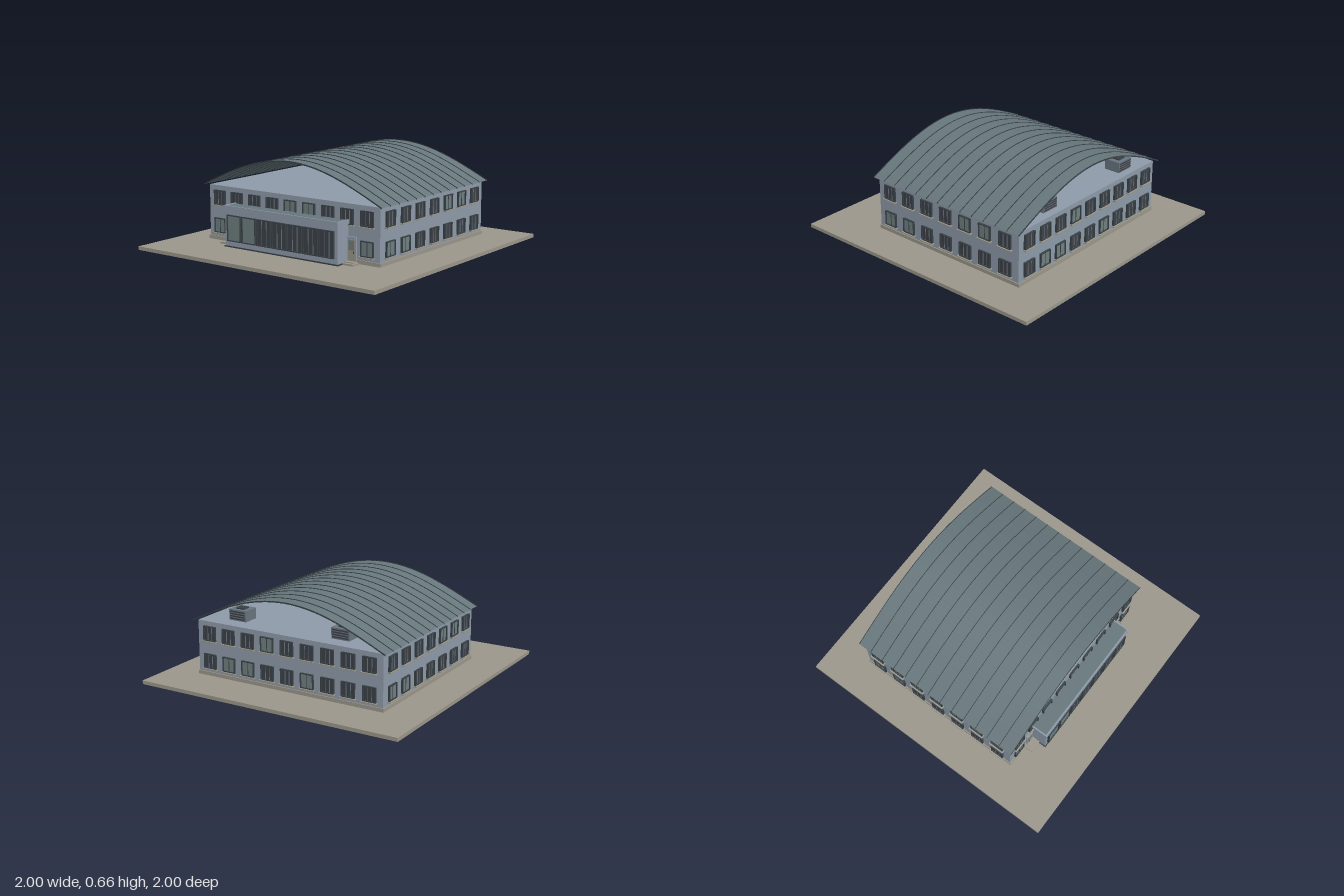
import * as THREE from 'three';

const mat = (name, color, side = THREE.FrontSide) => {
  const m = new THREE.MeshStandardMaterial({ color, side });
  m.name = name;
  return m;
};

export function createModel() {
  const wall = mat('blue grey wall', 0x8d9aa9);
  const roofing = mat('slate roofing', 0x66767b, THREE.DoubleSide);
  const stone = mat('tan stone', 0x9a968a);
  const darkPane = mat('dark pane', 0x3c4046);
  const glass = mat('pale glass', 0x6f7f80);
  const frame = mat('dark frame', 0x384146);
  const mullion = mat('mullion grey', 0x68747f);

  const model = new THREE.Group();
  model.name = 'archRoofHall';

  // Box given by its minimum and maximum corners
  const box = (parent, name, material, x0, x1, y0, y1, z0, z1) => {
    const mesh = new THREE.Mesh(new THREE.BoxGeometry(x1 - x0, y1 - y0, z1 - z0), material);
    mesh.position.set((x0 + x1) / 2, (y0 + y1) / 2, (z0 + z1) / 2);
    mesh.name = name;
    parent.add(mesh);
    return mesh;
  };

  // Framed pane standing on the z = 0 plane of its parent
  const glazing = (parent, name, x, y0, w, h, lit, bars, depth) => {
    const g = new THREE.Group();
    g.name = name;
    g.position.set(x, y0, 0);
    const a = w / 2, t = 0.006;
    box(g, 'pane', lit ? glass : darkPane, -a + t, a - t, t, h - t, 0, 0.006);
    for (const s of [-1, 1]) box(g, 'jamb', frame, s * (a - t / 2) - t / 2, s * (a - t / 2) + t / 2, 0, h, 0, depth);
    box(g, 'head', frame, -a, a, h - t, h, 0, depth);
    box(g, 'bottomRail', frame, -a, a, 0, t, 0, depth);
    for (const f of bars) {
      const b = (f - 0.5) * w;
      box(g, 'mullion', lit ? frame : mullion, b - 0.002, b + 0.002, t, h - t, 0, 0.009);
    }
    parent.add(g);
    return g;
  };

  // Ground and main block
  const Z0 = -0.706, Z1 = 0.556, X = 0.73;
  box(model, 'ground', stone, -1, 1, 0, 0.026, -1, 1);
  box(model, 'plinth', stone, -X - 0.007, X + 0.007, 0.042, 0.068, Z0 - 0.007, Z1 + 0.007);
  box(model, 'mainBlock', wall, -X, X, 0.045, 0.43, Z0, Z1);

  // Two rows of windows on each face
  const windowRows = (name, count, pitch, px, pz, turn, litTop, litBottom, skip = []) => {
    const face = new THREE.Group();
    face.name = name;
    face.position.set(px, 0, pz);
    face.rotation.y = turn;
    for (let row = 0; row < 2; row++) {
      for (let i = 0; i < count; i++) {
        if (row === 0 && skip.includes(i)) continue;
        const lit = (row ? litTop : litBottom).includes(i);
        const x = (i - (count - 1) / 2) * pitch;
        const g = glazing(face, 'window', x, row ? 0.293 : 0.095, 0.1, 0.104, lit, lit ? [0.5] : [0.36, 0.68], 0.015);
        box(g, 'sill', stone, -0.058, 0.058, -0.008, 0, 0, 0.025);
      }
    }
    model.add(face);
  };
  const zc = -0.073;
  windowRows('frontWindows', 9, 0.158, 0, Z1, 0, [4, 5], [0, 8], [1, 2, 3, 4, 5, 6, 7]);
  windowRows('backWindows', 9, 0.158, 0, Z0, Math.PI, [3], [1, 2, 5]);
  windowRows('leftWindows', 7, 0.174, X, zc, Math.PI / 2, [4, 5], [0, 1]);
  windowRows('rightWindows', 7, 0.174, -X, zc, -Math.PI / 2, [4, 5], [0, 1]);

  // Arched open-ended roof with standing seams
  const span = 1.515, rise = 0.228;
  const arch = (geometry) => {
    const p = geometry.attributes.position;
    for (let i = 0; i < p.count; i++) {
      p.setY(i, p.getY(i) + 0.432 + rise * Math.cos((p.getX(i) / span) * Math.PI));
    }
    geometry.computeVertexNormals();
    return geometry;
  };
  const sheet = new THREE.Mesh(arch(new THREE.PlaneGeometry(span, 1.316, 48, 1).rotateX(-Math.PI / 2)), roofing);
  sheet.name = 'roofSheet';
  sheet.position.z = -0.075;
  model.add(sheet);
  const seamGeometry = arch(new THREE.BoxGeometry(span, 0.009, 0.004, 48, 1, 1));
  for (let i = 0; i < 14; i++) {
    const seam = new THREE.Mesh(seamGeometry, frame);
    seam.name = 'roofSeam';
    seam.position.z = 0.581 - i * 0.1009;
    model.add(seam);
  }

  // Ventilation units under the back of the roof
  for (const s of [-1, 1]) {
    const unit = new THREE.Group();
    unit.name = 'ventUnit';
    unit.position.set(s * 0.405, 0.467, -0.635);
    box(unit, 'casing', mullion, -0.068, 0.068, 0, 0.075, -0.06, 0.06);
    box(unit, 'fanCap', frame, -0.032, 0.032, 0.075, 0.083, -0.032, 0.032);
    for (let i = 0; i < 4; i++) {
      const y = 0.009 + i * 0.016;
      box(unit, 'louvre', darkPane, -0.06, 0.06, y, y + 0.009, -0.063, 0.063);
    }
    model.add(unit);
  }

  // Glazed porch with a rimmed flat roof
  const porch = new THREE.Group();
  porch.name = 'porch';
  box(porch, 'porchBase', frame, -0.487, 0.487, 0.038, 0.046, Z1, 0.683);
  box(porch, 'porchWall', wall, -0.48, 0.48, 0.045, 0.285, Z1, 0.676);
  box(porch, 'porchFascia', wall, -0.488, 0.488, 0.28, 0.318, Z1, 0.684);
  box(porch, 'porchRoof', roofing, -0.478, 0.478, 0.318, 0.321, Z1, 0.674);
  box(porch, 'porchRimFront', wall, -0.488, 0.488, 0.318, 0.327, 0.674, 0.684);
  for (const s of [-1, 1]) {
    box(porch, 'porchRimSide', wall, s * 0.483 - 0.005, s * 0.483 + 0.005, 0.318, 0.327, Z1, 0.674);
  }
  const glazedFront = new THREE.Group();
  glazedFront.name = 'glazedFront';
  glazedFront.position.z = 0.676;
  for (let i = 0; i < 7; i++) {
    glazing(glazedFront, 'porchPanel', (i - 3) * 0.132, 0.082, 0.122, 0.182, i < 2, i < 2 ? [] : [0.36, 0.68], 0.015);
  }
  porch.add(glazedFront);
  model.add(porch);

  // Side doors and steps beside the porch
  for (const s of [-1, 1]) {
    const entry = new THREE.Group();
    entry.name = 'sideEntrance';
    entry.position.set(s * 0.515, 0, Z1);
    box(entry, 'doorSurround', wall, -0.034, 0.034, 0.045, 0.216, 0, 0.012);
    box(entry, 'door', stone, -0.027, 0.027, 0.05, 0.2, 0, 0.016);
    box(entry, 'doorGlass', glass, -0.022, 0.022, 0.128, 0.194, 0.016, 0.019);
    box(entry, 'doorHandle', frame, s * 0.018 - 0.003, s * 0.018 + 0.003, 0.108, 0.122, 0.016, 0.022);
    box(entry, 'upperStep', stone, -0.034, 0.038, 0.048, 0.056, 0, 0.05);
    box(entry, 'lowerStep', stone, -0.056, 0.056, 0.038, 0.05, 0, 0.074);
    model.add(entry);
  }

  return model;
}
